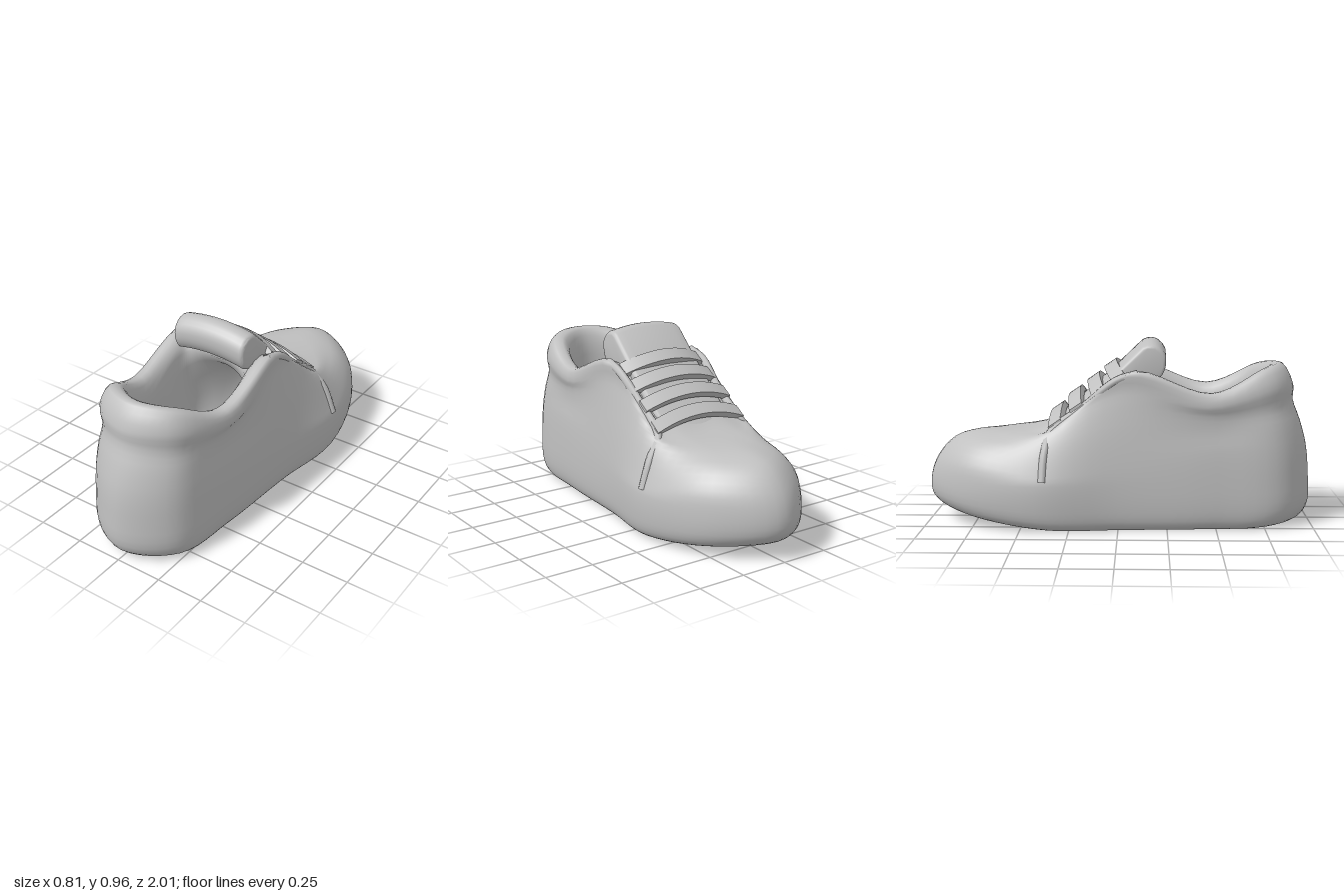
import * as THREE from 'three';
import { toCreasedNormals } from 'three/addons/utils/BufferGeometryUtils.js';

// Half outline of the sole [x, z], from toe to heel
const OUTLINE = [[0, -1], [0.27, -0.8], [0.395, -0.42], [0.345, 0], [0.31, 0.5], [0.25, 0.85], [0, 1]];
// Sole rings: [scale, height]
const SOLE = [[0, 0], [0.5, 0], [0.87, 0], [0.96, 0.03], [1, 0.1], [1, 0.24]];

// Half rings of the outer upper [x, y, z], from toe to heel
const UPPER = [
  [[0, 0.34, -0.96], [0.26, 0.34, -0.77], [0.375, 0.3, -0.42], [0.335, 0.35, 0], [0.3, 0.4, 0.5], [0.245, 0.4, 0.84], [0, 0.4, 0.985]],
  [[0, 0.435, -0.87], [0.2, 0.43, -0.72], [0.325, 0.41, -0.42], [0.315, 0.5, 0], [0.285, 0.5, 0.5], [0.235, 0.52, 0.82], [0, 0.53, 0.95]],
  [[0, 0.475, -0.74], [0.13, 0.47, -0.64], [0.28, 0.48, -0.4], [0.295, 0.62, 0], [0.285, 0.58, 0.5], [0.22, 0.62, 0.8], [0, 0.64, 0.91]],
  [[0, 0.5, -0.4], [0.14, 0.5, -0.4], [0.25, 0.5, -0.36], [0.28, 0.72, 0.02], [0.305, 0.63, 0.45], [0.23, 0.72, 0.8], [0, 0.72, 0.91]],
];
// Half rings over the padded collar and down the lining
const COLLAR = [
  [[0, 0.62, -0.2], [0.13, 0.62, -0.2], [0.22, 0.63, -0.15], [0.285, 0.8, 0.06], [0.285, 0.69, 0.47], [0.2, 0.81, 0.76], [0, 0.83, 0.85]],
  [[0, 0.77, 0.04], [0.13, 0.77, 0.04], [0.2, 0.78, 0.06], [0.24, 0.8, 0.14], [0.225, 0.69, 0.47], [0.16, 0.79, 0.7], [0, 0.82, 0.79]],
  [[0, 0.74, 0.16], [0.12, 0.74, 0.16], [0.18, 0.72, 0.18], [0.2, 0.7, 0.25], [0.19, 0.6, 0.47], [0.14, 0.65, 0.68], [0, 0.68, 0.75]],
  [[0, 0.5, -0.1], [0.12, 0.45, 0], [0.2, 0.38, 0.1], [0.2, 0.33, 0.25], [0.2, 0.28, 0.47], [0.15, 0.28, 0.68], [0, 0.3, 0.76]],
];

const soleRing = ([s, y]) => OUTLINE.map(([x, z]) => {
  const lift = 0.08 * Math.pow(Math.max(0, (-z * s - 0.2) / 0.8), 1.5) * Math.max(0, 1 - y / 0.24);
  return [x * s, y + lift, z * s];
});

// Mirrors a half ring and samples it as a closed smooth loop
function sampleRing(half, n) {
  const pts = half.map(p => new THREE.Vector3(...p));
  const other = half.slice(1, -1).reverse().map(([x, y, z]) => new THREE.Vector3(-x, y, z));
  const curve = new THREE.CatmullRomCurve3([...pts, ...other], true, 'centripetal');
  return Array.from({ length: n }, (_, i) => curve.getPoint(i / n));
}

// Smooth skin through all rings
function loft(halfRings, n, sub) {
  const rings = halfRings.map(r => sampleRing(r, n));
  const rows = (rings.length - 1) * sub;
  const pos = [], idx = [];
  const columns = Array.from({ length: n }, (_, i) =>
    new THREE.CatmullRomCurve3(rings.map(r => r[i]), false, 'centripetal'));
  for (let k = 0; k <= rows; k++) {
    for (let i = 0; i < n; i++) {
      const p = columns[i].getPoint(k / rows);
      pos.push(p.x, Math.max(0, p.y), p.z);
      if (k === rows) continue;
      const a = k * n + i, b = k * n + (i + 1) % n;
      idx.push(a, a + n, b, b, a + n, b + n);
    }
  }
  const g = new THREE.BufferGeometry();
  g.setAttribute('position', new THREE.Float32BufferAttribute(pos, 3));
  g.setIndex(idx);
  g.computeVertexNormals();
  return g;
}

// Moves every vertex by a rule
function bend(g, rule) {
  const p = g.attributes.position, v = new THREE.Vector3();
  for (let i = 0; i < p.count; i++) {
    rule(v.fromBufferAttribute(p, i));
    p.setXYZ(i, v.x, v.y, v.z);
  }
  return g;
}

export function createModel() {
  const group = new THREE.Group();
  const grey = new THREE.MeshStandardMaterial({ color: 0xc0c0c0, side: THREE.DoubleSide });
  grey.name = 'light grey';
  const add = (name, geometry) => {
    const m = new THREE.Mesh(geometry, grey);
    m.name = name;
    group.add(m);
    return m;
  };

  // Sole, upper, collar, lining and insole as one skin
  const floor = [1, 0.5, 0].map(s => COLLAR[3].map(([x, , z]) =>
    [x * 0.95 * s, 0.16, 0.36 + (z - 0.36) * 0.95 * s]));
  add('shoeBody', loft([...SOLE.map(soleRing), ...UPPER, ...COLLAR, ...floor], 72, 3));

  // Padded tongue, extruded across the shoe and drooping at its sides
  const profile = new THREE.Shape();
  profile.moveTo(-0.34, 0.46);
  profile.lineTo(0.02, 0.72);
  profile.lineTo(0.2, 0.8);
  profile.quadraticCurveTo(0.235, 0.84, 0.225, 0.9);
  profile.quadraticCurveTo(0.19, 0.965, 0.13, 0.935);
  profile.lineTo(-0.01, 0.8);
  profile.lineTo(-0.34, 0.51);
  const tongue = new THREE.ExtrudeGeometry(profile, {
    depth: 0.38, steps: 10, curveSegments: 6, bevelThickness: 0.02, bevelSize: 0.015, bevelSegments: 3,
  });
  tongue.translate(0, 0, -0.19).rotateY(-Math.PI / 2);
  bend(tongue, v => { v.y -= 0.6 * v.x * v.x; });
  add('tongue', toCreasedNormals(tongue, 0.8));

  // Flat lace straps, arched over the throat
  const laces = [[-0.315, 0.555, 0.27], [-0.215, 0.64, 0.265], [-0.11, 0.715, 0.26], [-0.015, 0.785, 0.245]];
  laces.forEach(([z, y, half], i) => {
    const g = new THREE.BoxGeometry(half * 2, 0.035, 0.075, 14, 1, 1);
    g.rotateX(-0.6);
    bend(g, v => {
      const t = (v.x / half) ** 2;
      v.y += 0.03 - 0.055 * t;
      v.z += 0.015 * i * (t - 0.5);
    });
    add('lace' + (i + 1), toCreasedNormals(g, 0.7)).position.set(0, y, z);
  });

  // Raised edges of the side panels, from the toe seam up to the collar
  for (const s of [1, -1]) {
    const path = [[0.383, 0.26, -0.38], [0.33, 0.4, -0.37], [0.262, 0.5, -0.34], [0.25, 0.63, -0.17],
      [0.265, 0.76, -0.01], [0.262, 0.795, 0.1]].map(([x, y, z]) => new THREE.Vector3(x * s, y, z));
    add(s > 0 ? 'leftEyestay' : 'rightEyestay',
      new THREE.TubeGeometry(new THREE.CatmullRomCurve3(path), 28, 0.022, 8));
  }
  return group;
}
